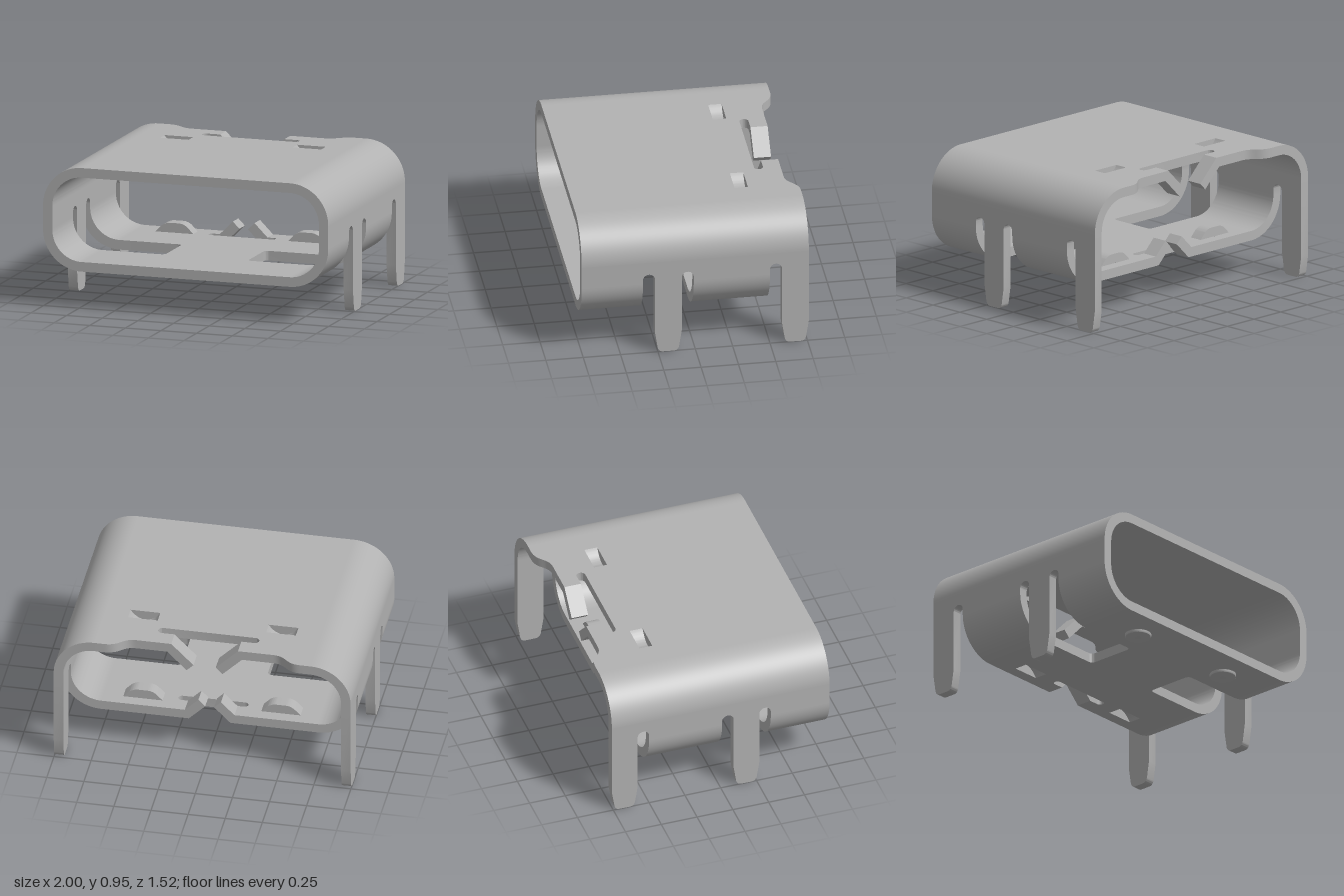
import * as THREE from 'three';
import { toCreasedNormals } from 'three/addons/utils/BufferGeometryUtils.js';

const T = 0.065;                 // sheet thickness
const R = 0.27;                  // outer corner radius
const TOP = 0.95, BOTTOM = 0.25; // outer faces of the tube
const FLAT = 1 - R;              // half width of the flat plates
const FRONT = 0.76, REAR = -0.76, LOW_REAR = -0.5;

export function createModel() {
  const group = new THREE.Group();
  const steel = new THREE.MeshStandardMaterial({ color: 0xb2b2b2 });
  steel.name = 'steel';

  const add = (name, geometry) => {
    const mesh = new THREE.Mesh(toCreasedNormals(geometry, 0.5), steel);
    mesh.name = name;
    group.add(mesh);
    return mesh;
  };
  const extrude = (shape, depth) =>
    new THREE.ExtrudeGeometry(shape, { depth, bevelEnabled: false, curveSegments: 16 });
  // profile in x/y, swept from z0 to z1
  const sweep = (name, shape, z0, z1) => add(name, extrude(shape, z1 - z0).translate(0, 0, z0));
  // outline in x/-z, lying flat with its underside at y
  const plate = (name, shape, y) => add(name, extrude(shape, T).rotateX(-Math.PI / 2).translate(0, y, 0));
  const polygon = (pts) => new THREE.Shape(pts.map(([x, y]) => new THREE.Vector2(x, y)));

  // rectangular windows left by the pressed springs
  const SPRING_X = 0.465, SPRING_Z0 = -0.42, SPRING_Z1 = -0.33;
  const springWindows = () => [-1, 1].map((s) => {
    const c = s * SPRING_X, w = 0.1;
    const path = new THREE.Path();
    path.moveTo(c - w, -SPRING_Z0);
    path.lineTo(c + w, -SPRING_Z0);
    path.lineTo(c + w, -SPRING_Z1);
    path.lineTo(c - w, -SPRING_Z1);
    path.closePath();
    return path;
  });

  // Outline of the relief slot, from the rear edge on +x round to the rear edge on -x
  const reliefSlot = (shape, x, rear, z0, z1) => {
    const r = (z1 - z0) / 2, mid = -(z0 + z1) / 2;
    shape.lineTo(x, -rear);
    shape.lineTo(x, -z0);
    shape.absarc(x, mid, r, Math.PI / 2, -Math.PI / 2, true);
    shape.lineTo(-x, -z1);
    shape.absarc(-x, mid, r, -Math.PI / 2, -Math.PI * 1.5, true);
    shape.lineTo(-x, -rear);
  };

  // Top plate with stepped rear edge
  const top = new THREE.Shape();
  top.moveTo(-FLAT, -FRONT);
  top.lineTo(FLAT, -FRONT);
  top.lineTo(FLAT, -REAR);
  top.lineTo(0.66, -REAR);
  top.bezierCurveTo(0.55, -REAR, 0.56, 0.675, 0.46, 0.675);
  reliefSlot(top, 0.31, -0.675, -0.56, -0.5);
  top.lineTo(-0.46, 0.675);
  top.bezierCurveTo(-0.56, 0.675, -0.55, -REAR, -0.66, -REAR);
  top.lineTo(-FLAT, -REAR);
  top.closePath();
  top.holes.push(...springWindows());
  plate('topPlate', top, TOP - T);

  // Bottom plate with openings beside the middle legs
  const HOLE_X = 0.29, HOLE_Z0 = 0.01, HOLE_Z1 = 0.35, F = 0.035;
  const bottom = new THREE.Shape();
  bottom.moveTo(-FLAT, -FRONT);
  bottom.lineTo(FLAT, -FRONT);
  bottom.lineTo(FLAT, -HOLE_Z1);
  bottom.lineTo(HOLE_X + F, -HOLE_Z1);
  bottom.quadraticCurveTo(HOLE_X, -HOLE_Z1, HOLE_X, -HOLE_Z1 + F);
  bottom.lineTo(HOLE_X, -HOLE_Z0 - F);
  bottom.quadraticCurveTo(HOLE_X, -HOLE_Z0, HOLE_X + F, -HOLE_Z0);
  bottom.lineTo(FLAT, -HOLE_Z0);
  bottom.lineTo(FLAT, -LOW_REAR);
  reliefSlot(bottom, 0.21, LOW_REAR, -0.39, -0.34);
  bottom.lineTo(-FLAT, -LOW_REAR);
  bottom.lineTo(-FLAT, -HOLE_Z0);
  bottom.lineTo(-HOLE_X - F, -HOLE_Z0);
  bottom.quadraticCurveTo(-HOLE_X, -HOLE_Z0, -HOLE_X, -HOLE_Z0 - F);
  bottom.lineTo(-HOLE_X, -HOLE_Z1 + F);
  bottom.quadraticCurveTo(-HOLE_X, -HOLE_Z1, -HOLE_X - F, -HOLE_Z1);
  bottom.lineTo(-FLAT, -HOLE_Z1);
  bottom.closePath();
  bottom.holes.push(...springWindows());
  plate('bottomPlate', bottom, BOTTOM);

  // Rounded corner: quarter ring around (s * FLAT, cy)
  const corner = (s, up) => {
    const cx = s * FLAT, cy = up > 0 ? TOP - R : BOTTOM + R;
    const a0 = s > 0 ? 0 : Math.PI, a1 = up * Math.PI / 2;
    const end = s > 0 ? a1 : a0 - a1;
    const shape = new THREE.Shape();
    shape.absarc(cx, cy, R, a0, end, end < a0);
    shape.absarc(cx, cy, R - T, end, a0, end > a0);
    shape.closePath();
    return shape;
  };

  // Side wall in z/y with both legs cut free by round-topped slots
  const slotTop = (shape, z0, z1, y) => {
    const r = (z1 - z0) / 2;
    shape.lineTo(z0, y - r);
    shape.absarc((z0 + z1) / 2, y - r, r, Math.PI, 0, true);
  };
  const leg = (shape, z0, z1) => {
    shape.lineTo(z0, 0.15);
    shape.lineTo(z0 + 0.018, 0.035);
    shape.quadraticCurveTo(z0 + 0.025, 0, z0 + 0.055, 0);
    shape.lineTo(z1 - 0.055, 0);
    shape.quadraticCurveTo(z1 - 0.025, 0, z1 - 0.018, 0.035);
    shape.lineTo(z1, 0.15);
  };
  const wall = new THREE.Shape();
  wall.moveTo(REAR, TOP - R);
  leg(wall, REAR, -0.58);
  slotTop(wall, -0.58, LOW_REAR, 0.6);
  wall.lineTo(LOW_REAR, BOTTOM + R);
  wall.lineTo(0.01, BOTTOM + R);
  slotTop(wall, 0.01, 0.09, 0.59);
  leg(wall, 0.09, 0.27);
  slotTop(wall, 0.27, 0.35, 0.59);
  wall.lineTo(0.35, BOTTOM + R);
  wall.lineTo(FRONT, BOTTOM + R);
  wall.lineTo(FRONT, TOP - R);
  wall.closePath();

  // Tab bent 45 degrees inward; y(d) maps depth below the outer face to height
  const tab = (s, y, root, bend, tip) => {
    const drop = bend - tip, k = T * Math.SQRT1_2;
    return polygon([
      [root, 0], [bend, 0], [tip, drop], [tip + k, drop + k],
      [bend + T * Math.tan(Math.PI / 8), T], [root, T],
    ].map(([x, d]) => [s * x, y(d)]));
  };

  // Pressed spring bridging its window and bulging inward
  const spring = (s, y) => {
    const c = s * SPRING_X;
    const shape = new THREE.Shape();
    shape.moveTo(c - 0.1, y(0));
    shape.quadraticCurveTo(c - 0.06, y(0.062), c, y(0.066));
    shape.quadraticCurveTo(c + 0.06, y(0.062), c + 0.1, y(0));
    shape.lineTo(c + 0.132, y(T));
    shape.lineTo(c + 0.09, y(0.108));
    shape.quadraticCurveTo(c + 0.062, y(0.13), c + 0.03, y(0.13));
    shape.lineTo(c - 0.03, y(0.13));
    shape.quadraticCurveTo(c - 0.062, y(0.13), c - 0.09, y(0.108));
    shape.lineTo(c - 0.132, y(T));
    shape.closePath();
    return shape;
  };

  const fromTop = (d) => TOP - d, fromBottom = (d) => BOTTOM + d;
  for (const [s, side] of [[1, 'left'], [-1, 'right']]) {
    sweep(`${side}TopCorner`, corner(s, 1), REAR, FRONT);
    sweep(`${side}FrontBottomCorner`, corner(s, -1), HOLE_Z1, FRONT);
    sweep(`${side}RearBottomCorner`, corner(s, -1), LOW_REAR, HOLE_Z0);

    add(`${side}WallWithLegs`, extrude(wall, T).rotateY(-Math.PI / 2).translate(s > 0 ? 1 : T - 1, 0, 0));

    sweep(`${side}TopTab`, tab(s, fromTop, 0.31, 0.225, 0.075), -0.675, -0.56);
    sweep(`${side}BottomTab`, tab(s, fromBottom, 0.21, 0.14, 0.03), LOW_REAR, -0.39);

    sweep(`${side}TopSpring`, spring(s, fromTop), SPRING_Z0, SPRING_Z1);
    sweep(`${side}BottomSpring`, spring(s, fromBottom), SPRING_Z0, SPRING_Z1);

    // Round standoff under the floor
    const profile = [[0, -0.023], [0.072, -0.023], [0.084, -0.018], [0.088, -0.008], [0.088, 0.005]];
    const foot = add(`${side}Standoff`,
      new THREE.LatheGeometry(profile.map(([x, y]) => new THREE.Vector2(x, y)), 32));
    foot.position.set(s * 0.42, BOTTOM, 0.537);
  }
  return group;
}
